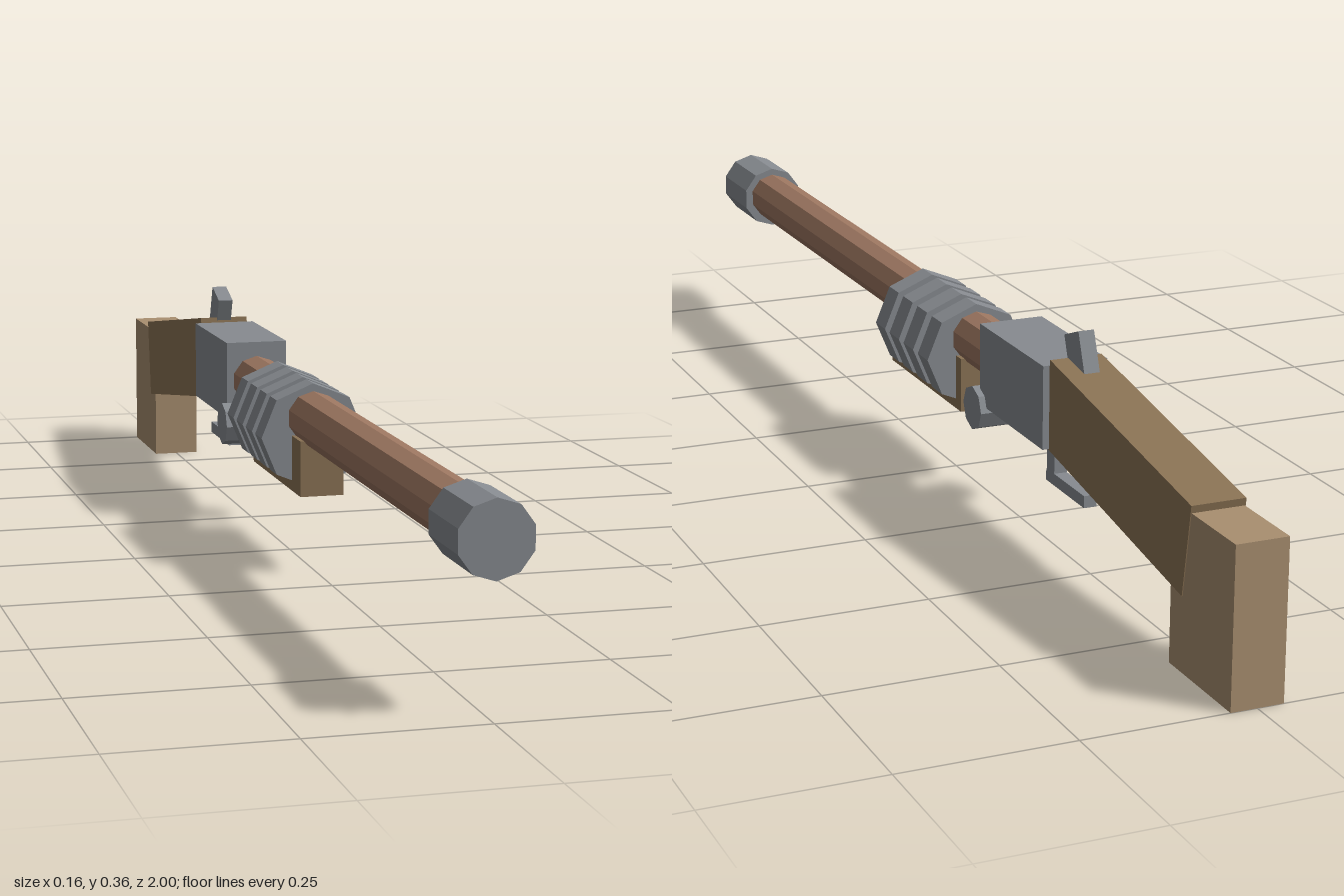
import * as THREE from 'three';

const mat = (color) => new THREE.MeshStandardMaterial({ color, flatShading: true });

export function createModel() {
  const group = new THREE.Group();
  const metal = mat(0x878b90), wood = mat(0x8b7355), paleWood = mat(0xa98f70), copper = mat(0x9c7660);

  const add = (name, geometry, material, x, y, z) => {
    const mesh = new THREE.Mesh(geometry, material);
    mesh.name = name;
    mesh.position.set(x, y, z);
    group.add(mesh);
    return mesh;
  };
  const box = (name, material, w, h, d, y, z, tilt = 0) => {
    const mesh = add(name, new THREE.BoxGeometry(w, h, d), material, 0, y, z);
    mesh.rotation.x = tilt;
    return mesh;
  };
  // Prism running along z from z0 to z1
  const rod = (name, material, r, sides, y, z0, z1) => {
    const geometry = new THREE.CylinderGeometry(r, r, Math.abs(z1 - z0), sides).rotateX(Math.PI / 2);
    return add(name, geometry, material, 0, y, (z0 + z1) / 2);
  };

  // Barrel, muzzle and fore-end
  rod('barrel', copper, 0.04, 10, 0.237, -0.23, 0.9);
  rod('muzzle', metal, 0.053, 10, 0.235, 0.88, 1);
  box('foreEnd', wood, 0.067, 0.085, 0.29, 0.1675, 0.046);

  // Octagonal bands clamping the fore-end to the barrel
  for (let i = 0; i < 4; i++) {
    const z = -0.06 + i * 0.06;
    rod('band', metal, 0.081, 8, 0.208, z - 0.02, z + 0.02);
  }

  // Receiver with its cross pin
  box('receiver', metal, 0.1, 0.125, 0.228, 0.2375, -0.326);
  const pin = new THREE.CylinderGeometry(0.034, 0.034, 0.12, 8).rotateZ(Math.PI / 2);
  add('crossPin', pin, metal, 0, 0.168, -0.206);

  // Trigger bracket and hammer
  box('triggerPost', metal, 0.02, 0.08, 0.026, 0.145, -0.381);
  box('triggerBar', metal, 0.02, 0.018, 0.13, 0.109, -0.431);
  box('hammer', metal, 0.024, 0.075, 0.05, 0.313, -0.464, 0.36);

  // Sloping stock and butt
  box('stock', wood, 0.08, 0.134, 0.445, 0.208, -0.651, -0.155);
  box('butt', paleWood, 0.077, 0.229, 0.174, 0.1145, -0.913);

  return group;
}
